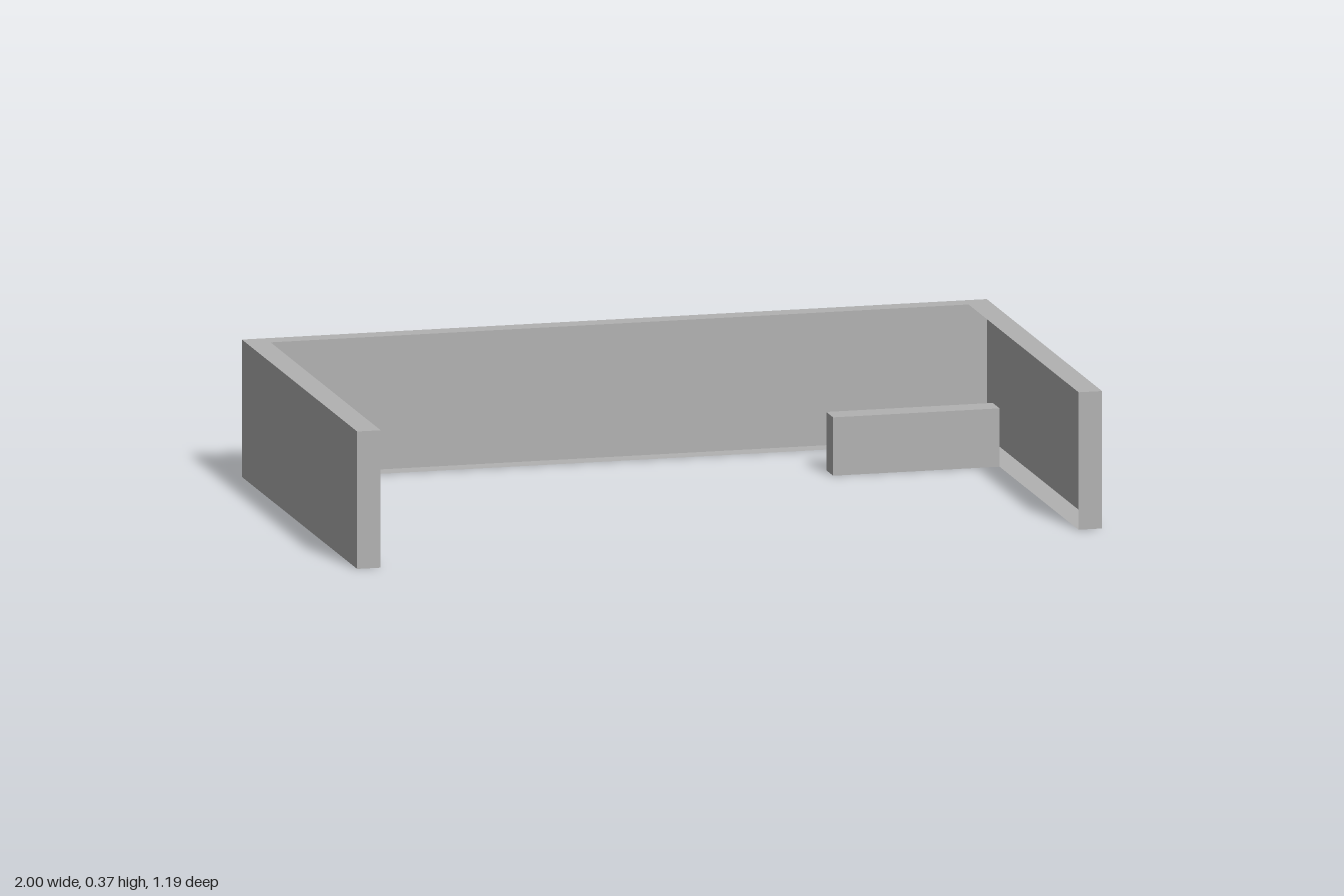
import * as THREE from 'three';

const H = 0.365, X = 1, XI = 0.937, Z = 0.593, ZI = -0.54;

export function createModel() {
  const group = new THREE.Group();
  group.name = 'wallEnclosure';
  const grey = new THREE.MeshStandardMaterial({ color: 0xb2b2b2, side: THREE.DoubleSide });
  grey.name = 'grey';

  const add = (name, geometry) => {
    const mesh = new THREE.Mesh(geometry, grey);
    mesh.name = name;
    group.add(mesh);
  };

  // Upright panel from (x0, z0) to (x1, z1), rising from the ground; faces right of its run
  const upright = (name, x0, z0, x1, z1, h) => {
    const g = new THREE.PlaneGeometry(Math.hypot(x1 - x0, z1 - z0), h);
    g.rotateY(Math.atan2(z0 - z1, x1 - x0));
    g.translate((x0 + x1) / 2, h / 2, (z0 + z1) / 2);
    add(name, g);
  };

  // U-shaped rims, hollow shell open on its inner side
  const outline = [[-X, Z], [-XI, Z], [-XI, ZI], [XI, ZI], [XI, Z], [X, Z], [X, -Z], [-X, -Z]];
  const rim = new THREE.Shape(outline.map(([x, z]) => new THREE.Vector2(x, -z)));
  add('topRim', new THREE.ShapeGeometry(rim).rotateX(-Math.PI / 2).translate(0, H, 0));
  const under = new THREE.Shape(outline.map(([x, z]) => new THREE.Vector2(x, z)));
  add('bottomRim', new THREE.ShapeGeometry(under).rotateX(Math.PI / 2));

  // Outer walls
  upright('backWall', X, -Z, -X, -Z, H);
  upright('leftWall', X, Z, X, -Z, H);
  upright('rightWall', -X, -Z, -X, Z, H);

  // Front ends of the side walls
  upright('leftWallEnd', XI, Z, X, Z, H);
  upright('rightWallEnd', -X, Z, -XI, Z, H);

  // Low partition, open underneath and where it meets the wall
  const px = 0.49, pb = -0.29, pf = -0.22, ph = 0.155;
  upright('partitionFront', px, pf, XI, pf, ph);
  upright('partitionBack', XI, pb, px, pb, ph);
  upright('partitionEnd', px, pb, px, pf, ph);
  add('partitionTop', new THREE.PlaneGeometry(XI - px, pf - pb)
    .rotateX(-Math.PI / 2).translate((px + XI) / 2, ph, (pb + pf) / 2));

  return group;
}
